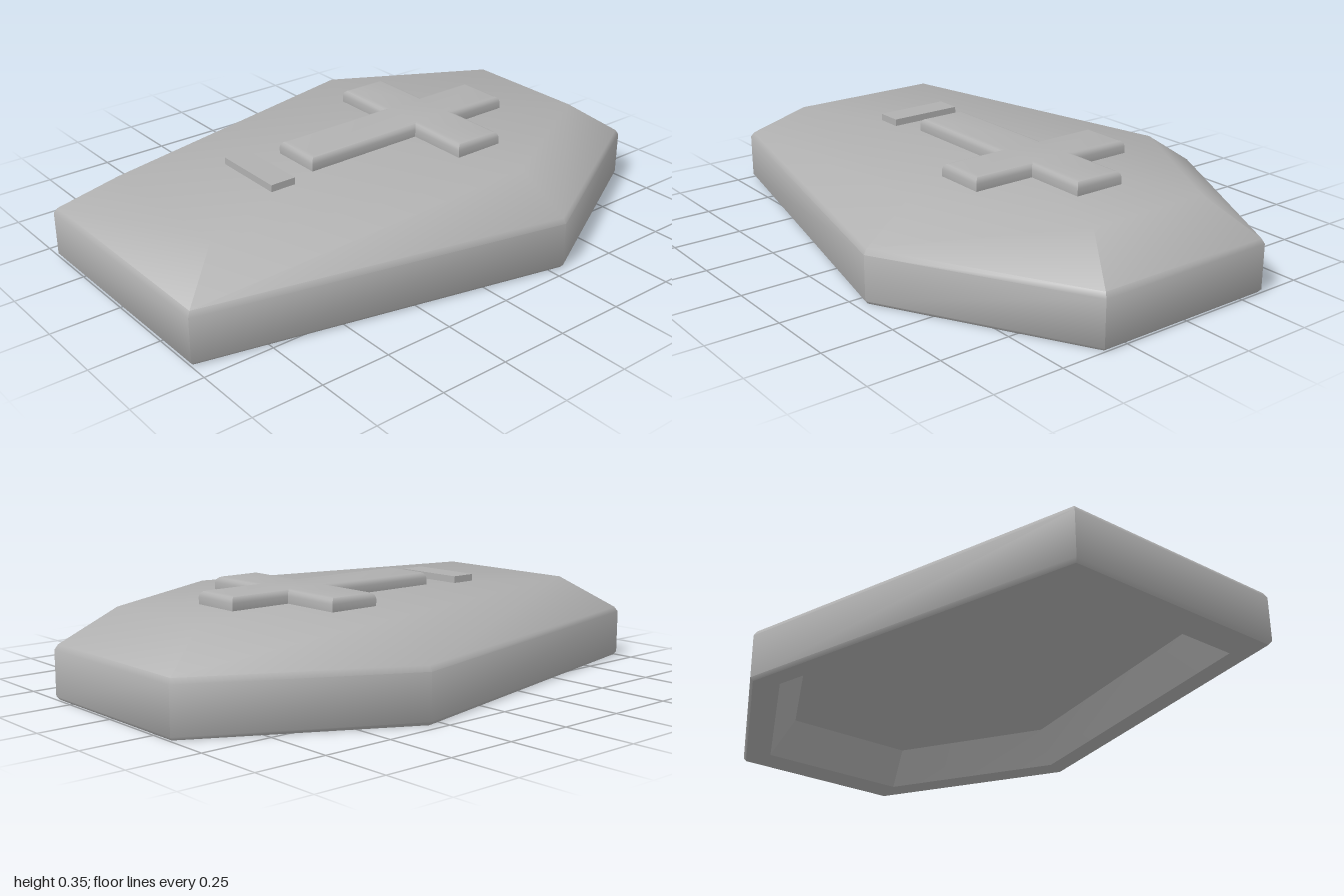
import * as THREE from 'three';
import { toCreasedNormals } from 'three/addons/utils/BufferGeometryUtils.js';

// Six-sided footprint as [x, z], running from front left round the back
const OUTLINE = [[0.43, 1], [0.72, -0.3], [0.34, -1], [-0.34, -1], [-0.72, -0.3], [-0.43, 1]];
const N = OUTLINE.length;

// Footprint moved inward by an equal distance on every side
function inset(d) {
  const edges = OUTLINE.map(([x, z], i) => {
    const [x2, z2] = OUTLINE[(i + 1) % N];
    const len = Math.hypot(x2 - x, z2 - z);
    const nx = -(z2 - z) / len, nz = (x2 - x) / len;
    return [nx, nz, nx * x + nz * z - d];
  });
  return OUTLINE.map((_, i) => {
    const [a, b, c] = edges[(i + N - 1) % N], [e, f, g] = edges[i];
    const det = a * f - b * e;
    return [(c * f - b * g) / det, (a * g - c * e) / det];
  });
}

const scaled = (s) => OUTLINE.map(([x, z]) => [x * s, z * s]);

// Skin through successive rings; the first and last are closed to the centre
function skin(rings) {
  const pos = [];
  const first = rings[0].y, last = rings[rings.length - 1].y;
  const fan = (y, p, q) => pos.push(0, y, 0, p[0], y, p[1], q[0], y, q[1]);
  for (let i = 0; i < N; i++) {
    const j = (i + 1) % N;
    fan(first, rings[0].pts[j], rings[0].pts[i]);
    fan(last, rings[rings.length - 1].pts[i], rings[rings.length - 1].pts[j]);
    for (let k = 0; k + 1 < rings.length; k++) {
      const lo = rings[k], hi = rings[k + 1];
      const a = [lo.pts[i][0], lo.y, lo.pts[i][1]], b = [lo.pts[j][0], lo.y, lo.pts[j][1]];
      const c = [hi.pts[j][0], hi.y, hi.pts[j][1]], d = [hi.pts[i][0], hi.y, hi.pts[i][1]];
      pos.push(...a, ...b, ...c, ...a, ...c, ...d);
    }
  }
  const geo = new THREE.BufferGeometry();
  geo.setAttribute('position', new THREE.Float32BufferAttribute(pos, 3));
  return toCreasedNormals(geo, THREE.MathUtils.degToRad(45));
}

export function createModel() {
  const group = new THREE.Group();
  const stone = new THREE.MeshStandardMaterial({ color: 0xb0b0b0 });
  stone.name = 'grey stone';
  const add = (name, geo) => {
    const mesh = new THREE.Mesh(geo, stone);
    mesh.name = name;
    group.add(mesh);
    return mesh;
  };

  // Lid: hollow underside, flat rim, upright walls, sloping shoulders, flat top
  add('lid', skin([
    { y: 0.12, pts: scaled(0.76) },
    { y: 0, pts: scaled(0.87) },
    { y: 0, pts: inset(0.01) },
    { y: 0.012, pts: inset(0) },
    { y: 0.17, pts: inset(0) },
    { y: 0.188, pts: inset(0.011) },
    { y: 0.308, pts: inset(0.18) },
  ]));

  // Raised cross with rounded edges, drawn in plan and laid flat
  const bevel = 0.022;
  const w = 0.095 - bevel, arm = 0.325 - bevel;
  const head = 0.59 - bevel, foot = -0.29 + bevel, armTop = 0.36 - bevel, armBottom = 0.17 + bevel;
  const half = [[w, foot], [w, armBottom], [arm, armBottom], [arm, armTop], [w, armTop], [w, head]];
  const mirrored = half.map(([x, y]) => [-x, y]).reverse();
  const shape = new THREE.Shape([...half, ...mirrored].map(([x, y]) => new THREE.Vector2(x, y)));
  const crossGeo = new THREE.ExtrudeGeometry(shape, {
    depth: 0.03, bevelEnabled: true, bevelThickness: bevel, bevelSize: bevel, bevelSegments: 3,
  });
  crossGeo.rotateX(-Math.PI / 2);
  const cross = add('cross', toCreasedNormals(crossGeo, THREE.MathUtils.degToRad(40)));
  cross.position.y = 0.355 - 0.03 - bevel;

  // Small name plate below the cross
  const plate = add('namePlate', new THREE.BoxGeometry(0.275, 0.05, 0.095));
  plate.position.set(-0.002, 0.308, 0.44);

  return group;
}
